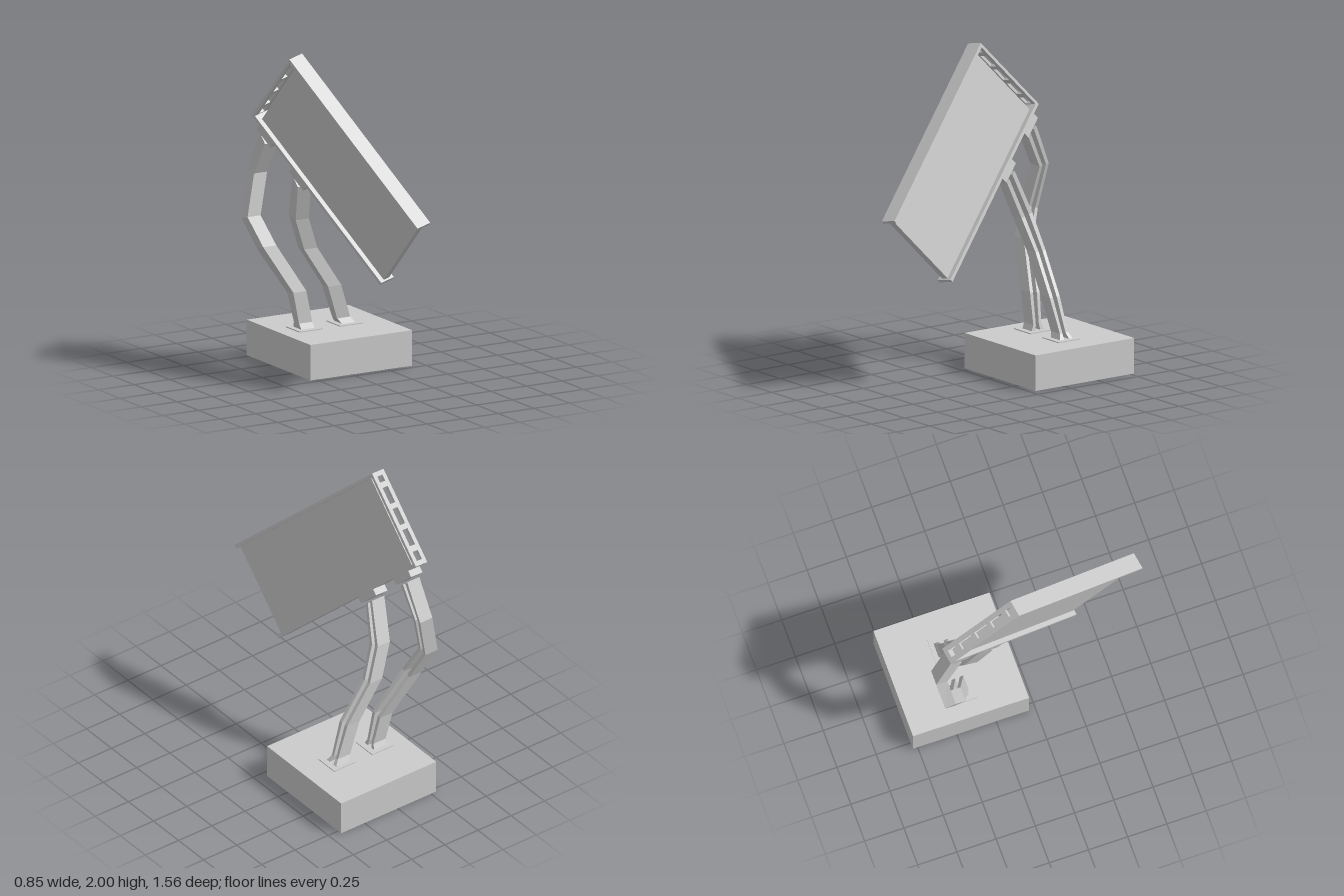
import * as THREE from 'three';

const V = (x, y, z) => new THREE.Vector3(x, y, z);
const mat = new THREE.MeshStandardMaterial({ color: 0xcccccc, flatShading: true, side: THREE.DoubleSide });

function add(parent, name, geometry) {
  const mesh = new THREE.Mesh(geometry, mat);
  mesh.name = name;
  parent.add(mesh);
  return mesh;
}

// box given by its min and max corners
function boxAt(x0, x1, y0, y1, z0, z1) {
  return new THREE.BoxGeometry(x1 - x0, y1 - y0, z1 - z0)
    .translate((x0 + x1) / 2, (y0 + y1) / 2, (z0 + z1) / 2);
}

// channel-section leg, open towards +x, lofted through [x, y, z, width] stations
function legGeometry(stations) {
  const pts = stations.map(([x, y, z]) => V(x, y, z));
  const X = V(1, 0, 0), D = 0.046, pos = [], index = [];
  const outline = [[-1, -1], [1, -1], [1, -0.38], [-0.35, -0.38], [-0.35, 0.38], [1, 0.38], [1, 1], [-1, 1]];
  const n = outline.length;
  const last = pts.length - 1;
  pts.forEach((p, i) => {
    const t = V(0, 0, 0);
    if (i > 0) t.add(p.clone().sub(pts[i - 1]).normalize());
    if (i < last) t.add(pts[i + 1].clone().sub(p).normalize());
    if (i === 0) t.set(0, 1, 0);
    if (i === last) t.set(0, 0.715, 0.7);
    const w = t.cross(X).normalize();
    for (const [a, b] of outline) {
      const q = p.clone().addScaledVector(X, a * D).addScaledVector(w, b * stations[i][3] / 2);
      pos.push(q.x, q.y, q.z);
    }
  });
  for (let i = 0; i < last; i++) {
    for (let k = 0; k < n; k++) {
      const a = i * n + k, b = i * n + (k + 1) % n;
      index.push(a, b, b + n, a, b + n, a + n);
    }
  }
  const caps = THREE.ShapeUtils.triangulateShape(outline.map(([a, b]) => new THREE.Vector2(a, b)), []);
  for (const [a, b, c] of caps) {
    index.push(a, c, b, last * n + a, last * n + b, last * n + c);
  }
  let g = new THREE.BufferGeometry();
  g.setAttribute('position', new THREE.Float32BufferAttribute(pos, 3));
  g.setIndex(index);
  g = g.toNonIndexed();
  g.computeVertexNormals();
  return g;
}

// tilted board; local x runs along its length, y across it, z through its thickness
function buildBoard() {
  const board = new THREE.Group();
  board.name = 'board';
  const L = 1.327, W = 0.62, T = 0.105, F = 0.022;
  add(board, 'upperFlange', boxAt(0, L, 0, F, 0, T));
  add(board, 'lowerFlange', boxAt(0, L, W - F, W, 0, T));
  add(board, 'panel', boxAt(0.055, L - 0.012, F, W - F, 0.03, 0.075));

  // end plate with a row of windows
  const plate = new THREE.Shape([[0, F], [T, F], [T, W - F], [0, W - F]].map(([a, b]) => new THREE.Vector2(a, b)));
  for (const [a, b] of [[0.03, 0.07], [0.105, 0.212], [0.245, 0.352], [0.385, 0.492], [0.53, 0.59]]) {
    plate.holes.push(new THREE.Path([[0.03, a], [0.03, b], [0.076, b], [0.076, a]].map(([x, y]) => new THREE.Vector2(x, y))));
  }
  const g = new THREE.ExtrudeGeometry(plate, { depth: 0.018, bevelEnabled: false });
  g.rotateY(-Math.PI / 2).translate(0.018, 0, 0);
  add(board, 'windowedEnd', g);

  // brackets where the legs meet the lower flange
  for (const u of [0.147, 0.485]) {
    add(board, 'bracket', boxAt(u - 0.073, u + 0.073, W, W + 0.042, 0.0, T));
  }

  const u = V(0.35, -0.9, 0.91).normalize();
  const n = u.clone().cross(V(0, -0.715, -0.7)).normalize();
  const v = n.clone().cross(u);
  const m = new THREE.Matrix4().makeBasis(u, v, n).setPosition(-0.38, 1.98, -0.135);
  m.decompose(board.position, board.quaternion, board.scale);
  return board;
}

export function createModel() {
  const model = new THREE.Group();
  model.name = 'boardOnLegs';

  // hollow base, open underneath
  const base = boxAt(-0.29, 0.425, 0, 0.22, -0.78, -0.04);
  const idx = Array.from(base.index.array);
  idx.splice(18, 6);
  base.setIndex(idx);
  add(model, 'base', base);

  // foot plates
  for (const x of [-0.105, 0.18]) {
    add(model, 'footPlate', boxAt(x - 0.082, x + 0.082, 0.215, 0.226, -0.495, -0.335));
  }

  // bent legs
  add(model, 'rightLeg', legGeometry([
    [-0.105, 0.22, -0.42, 0.1], [-0.112, 0.26, -0.42, 0.06], [-0.15, 0.45, -0.43, 0.075],
    [-0.315, 0.73, -0.505, 0.075], [-0.375, 0.91, -0.587, 0.07], [-0.31, 1.18, -0.62, 0.07],
    [-0.292, 1.405, -0.518, 0.085],
  ]));
  add(model, 'leftLeg', legGeometry([
    [0.185, 0.22, -0.42, 0.1], [0.155, 0.26, -0.42, 0.06], [0.08, 0.47, -0.407, 0.075],
    [-0.08, 0.72, -0.42, 0.075], [-0.165, 0.93, -0.382, 0.085], [-0.201, 1.175, -0.288, 0.085],
  ]));

  model.add(buildBoard());
  return model;
}
